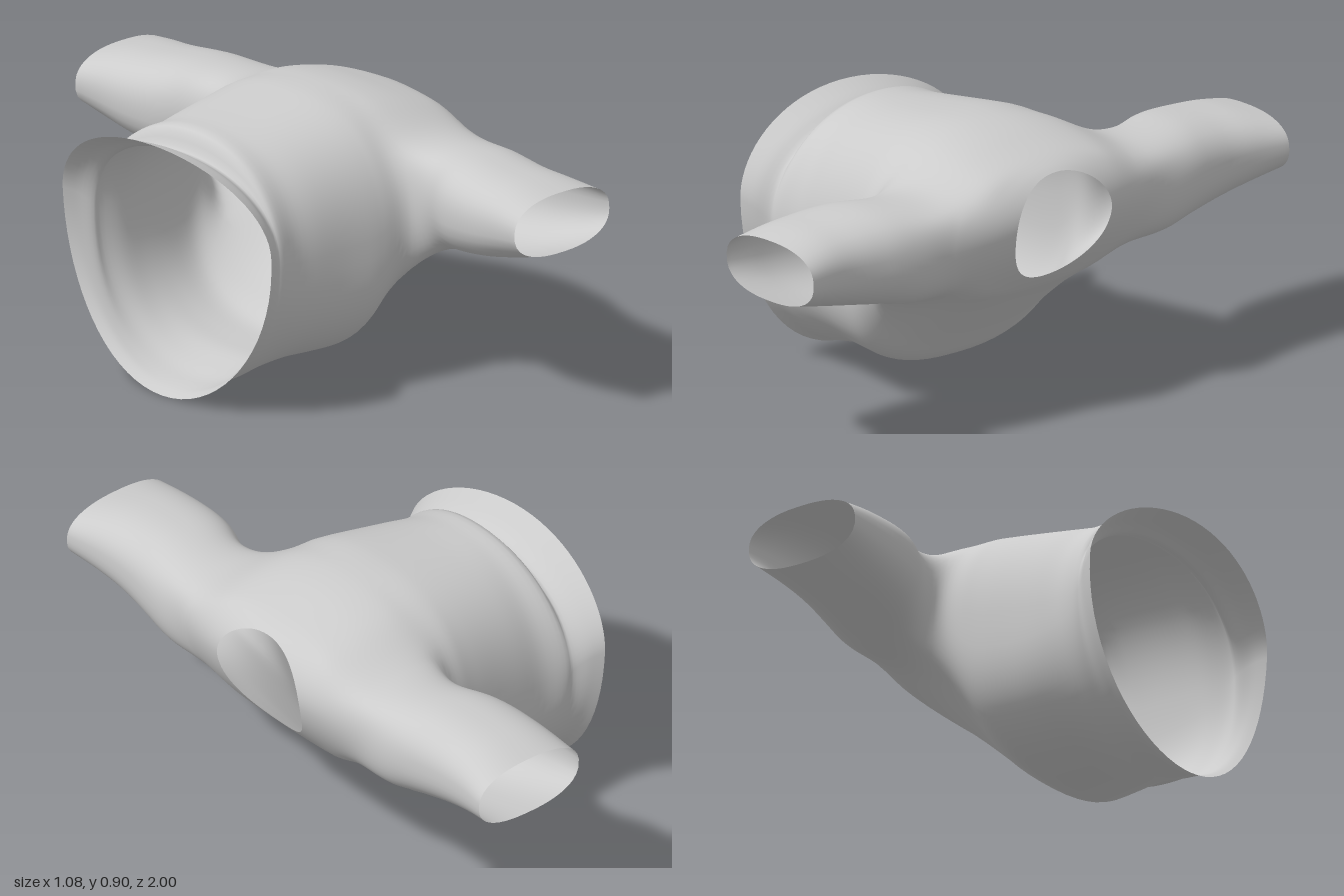
import * as THREE from 'three';

// Torso rings from hem to neck:
// [topX, topY, bottomX, bottomY, widestY, halfWidth, side bulge in x, roundness]
const TORSO = [
  [-0.54, 0.845, -0.495, 0.0, 0.57, 0.475, 0.05, 2],
  [-0.46, 0.815, -0.46, 0.015, 0.55, 0.45, 0.025, 2],
  [-0.405, 0.79, -0.42, 0.025, 0.51, 0.42, 0.015, 2.1],
  [-0.37, 0.853, -0.36, 0.035, 0.48, 0.42, 0, 2.1],
  [-0.29, 0.862, -0.29, 0.055, 0.45, 0.405, 0, 2.2],
  [-0.2, 0.87, -0.2, 0.076, 0.44, 0.41, 0, 2.4],
  [-0.1, 0.883, -0.1, 0.077, 0.44, 0.42, 0, 2.5],
  [0.0, 0.897, 0.0, 0.08, 0.45, 0.437, 0, 2.5],
  [0.06, 0.903, 0.06, 0.108, 0.49, 0.447, 0, 2.4],
  [0.13, 0.904, 0.12, 0.163, 0.55, 0.46, 0, 2.2],
  [0.2, 0.9, 0.2, 0.238, 0.59, 0.465, 0, 2.2],
  [0.28, 0.887, 0.28, 0.31, 0.61, 0.465, 0.01, 2.2],
  [0.36, 0.866, 0.34, 0.36, 0.62, 0.46, 0.04, 2.2],
  [0.43, 0.845, 0.385, 0.395, 0.63, 0.43, 0.08, 2.1],
  [0.475, 0.826, 0.42, 0.428, 0.64, 0.32, 0.068, 2],
  [0.5, 0.81, 0.44, 0.45, 0.65, 0.2, 0.065, 2],
];

// Sleeve rings from shoulder to cuff: [z, minX, maxX, minY, maxY]
const SLEEVE = [
  [0.51, 0.13, 0.495, 0.437, 0.786],
  [0.6, 0.093, 0.484, 0.465, 0.79],
  [0.7, 0.07, 0.466, 0.482, 0.786],
  [0.8, 0.062, 0.456, 0.5, 0.777],
  [0.9, 0.064, 0.462, 0.523, 0.768],
  [1.0, 0.066, 0.478, 0.55, 0.75],
];

const STEPS = 4;      // rings between two torso keys
const SIDES = 72;     // points around the torso
const ARM = 7;        // half height of an armhole, in points
const ARM_START = 9 * STEPS, ARM_END = 13 * STEPS;

const spow = (v, p) => Math.sign(v) * Math.pow(Math.abs(v), p);

// Smooth interpolation through a list of equal-length rows
function sample(rows, t) {
  const i = Math.min(Math.floor(t), rows.length - 2), f = t - i;
  const row = (k) => rows[Math.max(0, Math.min(rows.length - 1, k))];
  return rows[0].map((_, c) => {
    const a = row(i - 1)[c], b = row(i)[c], d = row(i + 1)[c], e = row(i + 2)[c];
    const m0 = (d - a) / 2, m1 = (e - b) / 2;
    return b + f * (m0 + f * (3 * (d - b) - 2 * m0 - m1 + f * (2 * (b - d) + m0 + m1)));
  });
}

function torsoPoint(row, angle) {
  const [xt, yt, xb, yb, yc, w, bulge, n] = row;
  const c = spow(Math.cos(angle), 2 / n), s = spow(Math.sin(angle), 2 / n);
  const y = yc + s * (s > 0 ? yt - yc : yc - yb);
  const x = xb + (xt - xb) * (y - yb) / (yt - yb) + bulge * c * c;
  return [x, y, w * c + 0.03 * Math.min(0, x)];
}

function sleevePoint([z, x0, x1, y0, y1], angle, side) {
  const p = 2 / 2.4;
  return [
    (x0 + x1) / 2 + spow(Math.cos(angle), p) * (x1 - x0) / 2,
    (y0 + y1) / 2 + spow(Math.sin(angle), p) * (y1 - y0) / 2,
    side * z,
  ];
}

// Relax the cloth where the sleeves join the shoulders
function relaxShoulders(points, index, passes) {
  const near = points.map(() => new Set());
  for (let t = 0; t < index.length; t += 6) {
    const corners = [index[t], index[t + 1], index[t + 2], index[t + 5]];
    corners.forEach((a, k) => {
      const b = corners[(k + 1) % 4];
      near[a].add(b);
      near[b].add(a);
    });
  }
  const step = THREE.MathUtils.smoothstep;
  const weights = points.map(([x, , z]) => {
    const d = Math.abs(z);
    return 0.6 * step(d, 0.22, 0.36) * (1 - step(d, 0.52, 0.68)) * step(x, 0.04, 0.14);
  });
  for (let pass = 0; pass < passes; pass++) {
    const old = points.map((p) => p.slice());
    points.forEach((p, i) => {
      if (weights[i] === 0) return;
      for (let c = 0; c < 3; c++) {
        let sum = 0;
        for (const n of near[i]) sum += old[n][c];
        p[c] += weights[i] * (sum / near[i].size - old[i][c]);
      }
    });
  }
}

export function createModel() {
  const points = [];
  const quad = (list, a, b, c, d) => list.push(a, b, c, a, c, d);
  const at = (i, j) => i * SIDES + (j + SIDES) % SIDES;

  // Torso shell, leaving out the two armholes
  const torso = [];
  const rings = (TORSO.length - 1) * STEPS;
  const inArm = (j) => (j >= -ARM && j < ARM);
  for (let i = 0; i <= rings; i++) {
    const row = sample(TORSO, i / STEPS);
    for (let j = 0; j < SIDES; j++) points.push(torsoPoint(row, j / SIDES * Math.PI * 2));
  }
  for (let i = 0; i < rings; i++) {
    for (let j = -SIDES / 4; j < SIDES * 3 / 4; j++) {
      const hole = i >= ARM_START && i < ARM_END && (inArm(j) || inArm(j - SIDES / 2));
      if (!hole) quad(torso, at(i, j), at(i + 1, j), at(i + 1, j + 1), at(i, j + 1));
    }
  }

  // Sleeve grown from the rim of its armhole
  function sleeve(side) {
    const list = [];
    const rim = (i, j) => at(i, side > 0 ? j : SIDES / 2 - j);
    let loop = [];
    for (let i = ARM_START; i < ARM_END; i++) loop.push(rim(i, -ARM));
    for (let j = -ARM; j < ARM; j++) loop.push(rim(ARM_END, j));
    for (let i = ARM_END; i > ARM_START; i--) loop.push(rim(i, ARM));
    for (let j = ARM; j > -ARM; j--) loop.push(rim(ARM_START, j));

    const paths = loop.map((id) => {
      const [x, y] = points[id];
      const angle = Math.atan2((y - 0.61) / 0.17, (x - 0.3) / 0.18);
      return [points[id], ...SLEEVE.map((r) => sleevePoint(r, angle, side))];
    });
    const count = SLEEVE.length * STEPS;
    for (let k = 1; k <= count; k++) {
      const next = paths.map((path) => points.push(sample(path, k / STEPS)) - 1);
      loop.forEach((a, l) => {
        const m = (l + 1) % loop.length;
        if (side > 0) quad(list, a, loop[m], next[m], next[l]);
        else quad(list, a, next[l], next[m], loop[m]);
      });
      loop = next;
    }
    return list;
  }
  const parts = { torso, leftSleeve: sleeve(1), rightSleeve: sleeve(-1) };
  const allFaces = Object.values(parts).flat();
  relaxShoulders(points, allFaces, 16);

  // Normals are shared by all parts so that the seams stay smooth
  const whole = new THREE.BufferGeometry();
  whole.setAttribute('position', new THREE.Float32BufferAttribute(points.flat(), 3));
  whole.setIndex(allFaces);
  whole.computeVertexNormals();

  const cloth = new THREE.MeshStandardMaterial({ color: 0xcccccc, side: THREE.DoubleSide });
  const group = new THREE.Group();
  group.name = 'shirt';
  for (const [name, index] of Object.entries(parts)) {
    const geometry = new THREE.BufferGeometry();
    geometry.setAttribute('position', whole.attributes.position);
    geometry.setAttribute('normal', whole.attributes.normal);
    geometry.setIndex(index);
    const mesh = new THREE.Mesh(geometry, cloth);
    mesh.name = name;
    group.add(mesh);
  }
  return group;
}
